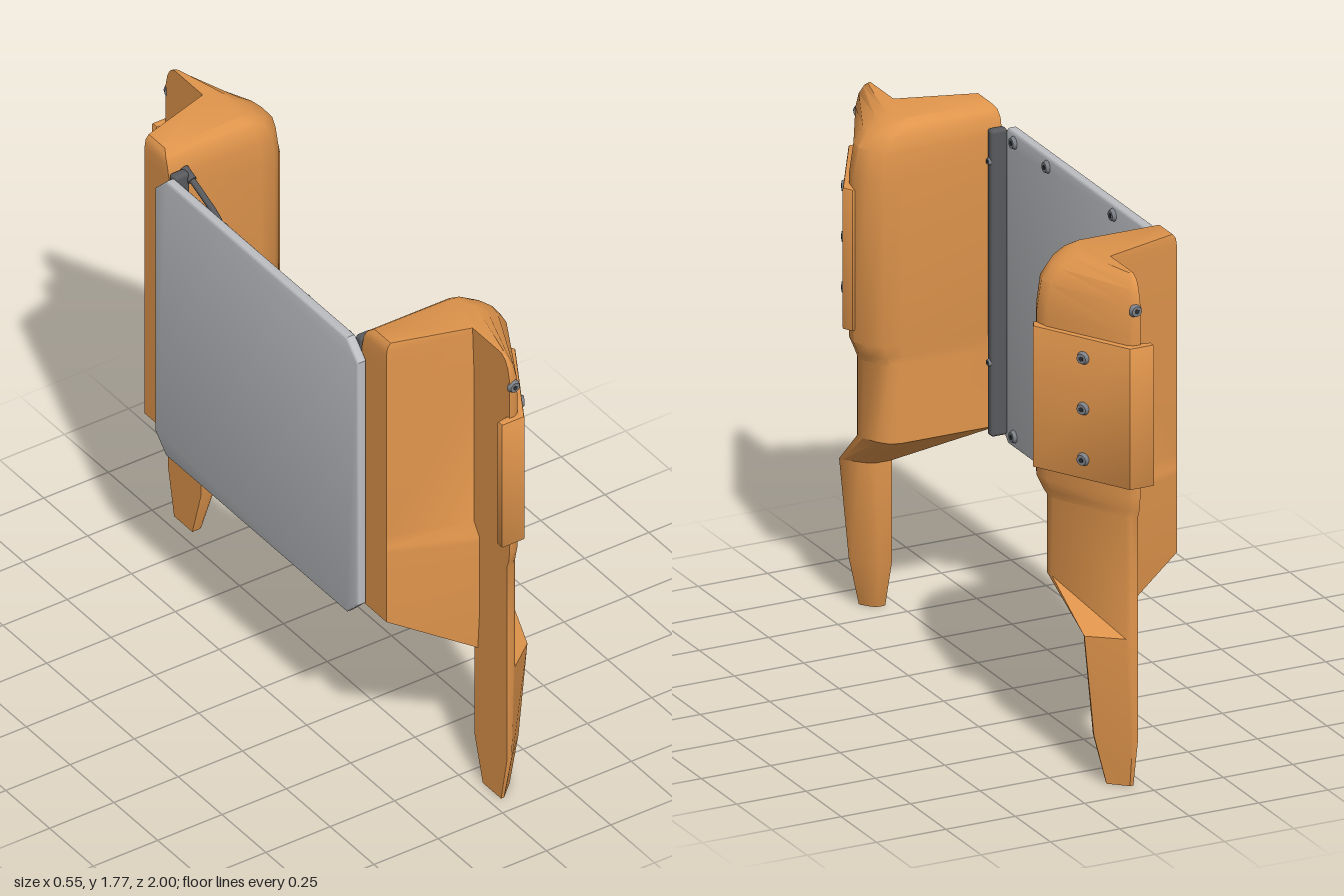
import * as THREE from 'three';
import { toCreasedNormals } from 'three/addons/utils/BufferGeometryUtils.js';
import { RoundedBoxGeometry } from 'three/addons/geometries/RoundedBoxGeometry.js';

const paint = (name, color) => {
  const m = new THREE.MeshStandardMaterial({ color });
  m.name = name;
  return m;
};

// Mirror a geometry across z = 0, keeping faces outward
function mirrorZ(geo) {
  const g = geo.index ? geo.toNonIndexed() : geo.clone();
  for (const [key, a] of Object.entries(g.attributes)) {
    const n = a.itemSize, arr = a.array;
    for (let t = 0; t < a.count; t += 3) {
      for (let k = 0; k < n; k++) {
        const p = (t + 1) * n + k, q = (t + 2) * n + k;
        [arr[p], arr[q]] = [arr[q], arr[p]];
      }
    }
    if (key !== 'uv') for (let i = 0; i < a.count; i++) arr[i * n + 2] *= -1;
  }
  return g;
}

// Loft rings of [x, z] points, bottom to top, with end caps
function loft(rings) {
  const n = rings[0].pts.length, pos = [], idx = [];
  for (const { y, pts } of rings) for (const [x, z] of pts) pos.push(x, y, z);
  for (let r = 0; r < rings.length - 1; r++) {
    for (let j = 0; j < n; j++) {
      const a = r * n + j, b = r * n + (j + 1) % n;
      idx.push(a, a + n, b, b, a + n, b + n);
    }
  }
  for (const r of [0, rings.length - 1]) {
    const c = rings[r].pts.map(([x, z]) => new THREE.Vector2(x, z));
    for (const [i, j, k] of THREE.ShapeUtils.triangulateShape(c.slice(), [])) {
      const turn = (c[j].x - c[i].x) * (c[k].y - c[i].y) - (c[j].y - c[i].y) * (c[k].x - c[i].x);
      const up = turn < 0; // x-z turn is opposite to the y normal
      const o = r * n;
      if (up === (r > 0)) idx.push(o + i, o + j, o + k);
      else idx.push(o + i, o + k, o + j);
    }
  }
  const g = new THREE.BufferGeometry();
  g.setAttribute('position', new THREE.Float32BufferAttribute(pos, 3));
  g.setIndex(idx);
  return toCreasedNormals(g, 0.65);
}

function legGeometry() {
  // Cross-sections: wide housing, lower housing, slim leg
  const upper = [[-0.24, 0.55], [0.12, 0.55], [0.18, 0.563], [0.222, 0.6], [0.245, 0.65], [0.235, 0.7],
    [0.08, 0.968], [0.062, 0.98], [0.04, 0.982], [0.04, 0.77], [-0.24, 0.69]];
  const lower = [[-0.24, 0.557], [0.12, 0.557], [0.155, 0.568], [0.182, 0.6], [0.21, 0.655], [0.21, 0.69],
    [0.078, 0.955], [0.065, 0.965], [0.04, 0.966], [0.04, 0.8], [-0.24, 0.69]];
  const slim = [[0.04, 0.78], [0.1, 0.78], [0.12, 0.79], [0.14, 0.81], [0.18, 0.855], [0.185, 0.87],
    [0.078, 0.955], [0.065, 0.965], [0.04, 0.966], [0.04, 0.83], [0.04, 0.8]];
  const shrink = (pts, kx, kz, zc, dBack = 0) => pts.map(([x, z]) => [
    x > 0.04 ? 0.04 + (x - 0.04) * kx : x < 0 ? x + dBack : x, zc + (z - zc) * kz]);
  const rings = [
    { y: 0, pts: shrink(slim, 0.48, 0.56, 0.89) },
    { y: 0.17, pts: shrink(slim, 0.76, 1, 0.87) },
    { y: 0.52, pts: slim },
    { y: 0.67, pts: lower },
    { y: 0.94, pts: lower },
    { y: 0.965, pts: shrink(upper, 0.9, 0.97, 0.765) },
    { y: 1.01, pts: upper },
    { y: 1.58, pts: upper },
    { y: 1.68, pts: shrink(upper, 0.92, 1, 0.765) },
    { y: 1.73, pts: shrink(upper, 0.74, 0.95, 0.765) },
    { y: 1.757, pts: shrink(upper, 0.52, 0.88, 0.765, 0.004) },
    { y: 1.772, pts: shrink(upper, 0.34, 0.78, 0.765, 0.016) },
  ];
  // The rear web thickens steadily towards the bottom
  for (const { y, pts } of rings) {
    if (y >= 0.52) pts[9] = [0.04, 0.83 - 0.06 * (y - 0.52) / 1.25];
    if (y > 0.6) pts[10] = [pts[10][0], 0.69];
  }
  return loft(rings);
}

function outline(points) {
  return new THREE.Shape(points.map(([x, y]) => new THREE.Vector2(x, y)));
}

export function createModel() {
  const orange = paint('orange', 0xe0954c);
  const grey = paint('plate grey', 0xbcbec2);
  const dark = paint('dark grey', 0x58595c);
  const steel = paint('screw steel', 0x7c8086);
  const black = paint('socket black', 0x2c2d30);
  const model = new THREE.Group();
  const add = (name, geo, mat, parent = model) => {
    const m = new THREE.Mesh(geo, mat);
    m.name = name;
    parent.add(m);
    return m;
  };

  // Screw pointing along a direction
  const headGeo = new THREE.CylinderGeometry(0.017, 0.023, 0.014, 16).translate(0, 0.005, 0);
  const socketGeo = new THREE.CylinderGeometry(0.009, 0.009, 0.004, 6).translate(0, 0.0115, 0);
  const screw = (name, pos, dir, size = 1) => {
    const g = new THREE.Group();
    g.name = name;
    add('screwHead', headGeo, steel, g);
    add('screwSocket', socketGeo, black, g);
    g.position.set(...pos);
    g.quaternion.setFromUnitVectors(new THREE.Vector3(0, 1, 0), new THREE.Vector3(...dir).normalize());
    g.scale.setScalar(size);
    model.add(g);
  };

  // Back plate with chamfered corners
  const b = 0.008, w = 0.58 - b, lo = 0.62 + b, hi = 1.71 - b, c = 0.06;
  const plate = new THREE.ExtrudeGeometry(outline([[-w + c, lo], [w - c, lo], [w, lo + c], [w, hi - c],
    [w - c, hi], [-w + c, hi], [-w, hi - c], [-w, lo + c]]),
  { depth: 0.035 - 2 * b, bevelSize: b, bevelThickness: b, bevelSegments: 3 });
  plate.rotateY(Math.PI / 2).translate(-0.277 + b, 0, 0);
  add('backPlate', toCreasedNormals(plate, 0.6), grey);
  for (const z of [-0.47, -0.235, 0.235, 0.47]) {
    for (const y of [0.66, 1.675]) screw('plateScrew', [-0.242, y, z], [1, 0, 0]);
  }

  // Wrap-around pad for the outer edge of each leg
  const padShape = outline([[0.005, -0.993], [0.082, -0.993], [0.264, -0.675], [0.25, -0.648],
    [0.236, -0.655], [0.064, -0.968], [0.005, -0.978]]);
  const pad = new THREE.ExtrudeGeometry(padShape,
    { depth: 0.478, bevelSize: 0.006, bevelThickness: 0.006, bevelSegments: 2 });
  pad.rotateX(-Math.PI / 2).translate(0, 1.056, 0);
  const padGeo = toCreasedNormals(pad, 0.6);
  const legGeo = legGeometry();

  // Mirrored legs, pads, hinge strips and their screws
  for (const s of [1, -1]) {
    const side = (g) => (s > 0 ? g : mirrorZ(g));
    add('leg', side(legGeo), orange);
    add('legPad', side(padGeo), orange);
    for (const y of [1.12, 1.295, 1.47]) screw('padScrew', [0.176, y, 0.843 * s], [0.866, 0, 0.5 * s]);
    screw('legScrew', [0.056, 1.66, 0.979 * s], [0, 0, s]);
    add('hingeStrip', new RoundedBoxGeometry(0.06, 1.06, 0.036, 3, 0.012).translate(-0.213, 1.18, 0.531 * s), dark);
    for (const y of [0.905, 1.6]) screw('stripScrew', [-0.184, y, 0.531 * s], [1, 0, 0], 0.6);
  }

  // Ribbed power unit
  add('powerUnit', new RoundedBoxGeometry(0.062, 0.35, 0.17, 2, 0.012).translate(-0.211, 1.08, -0.37), dark);
  for (let i = 0; i < 6; i++) {
    add('powerUnitRib', new RoundedBoxGeometry(0.018, 0.046, 0.15, 2, 0.006)
      .translate(-0.178, 0.938 + i * 0.057, -0.37), dark);
  }
  add('cableSocket', new RoundedBoxGeometry(0.035, 0.03, 0.08, 2, 0.008).translate(-0.2, 1.266, -0.37), dark);

  // Cables with plugs at their ends
  const cables = [
    [[-0.2, 1.265, -0.35], [-0.19, 1.39, -0.32], [-0.18, 1.53, -0.31], [-0.18, 1.605, -0.345],
      [-0.175, 1.65, -0.45], [-0.18, 1.69, -0.53]],
    [[-0.2, 1.265, -0.385], [-0.185, 1.325, -0.44], [-0.175, 1.37, -0.49], [-0.18, 1.425, -0.53]],
  ];
  for (const pts of cables) {
    const v = pts.map((p) => new THREE.Vector3(...p));
    add('cable', new THREE.TubeGeometry(new THREE.CatmullRomCurve3(v), 32, 0.011, 8), dark);
    const end = v[v.length - 1], dir = end.clone().sub(v[v.length - 2]).normalize();
    for (const [at, d] of [[end, dir], [v[0], v[1].clone().sub(v[0]).normalize()]]) {
      const plug = add('cablePlug', new THREE.CylinderGeometry(0.016, 0.016, 0.05, 12), dark);
      plug.position.copy(at);
      plug.quaternion.setFromUnitVectors(new THREE.Vector3(0, 1, 0), d);
    }
  }
  return model;
}
